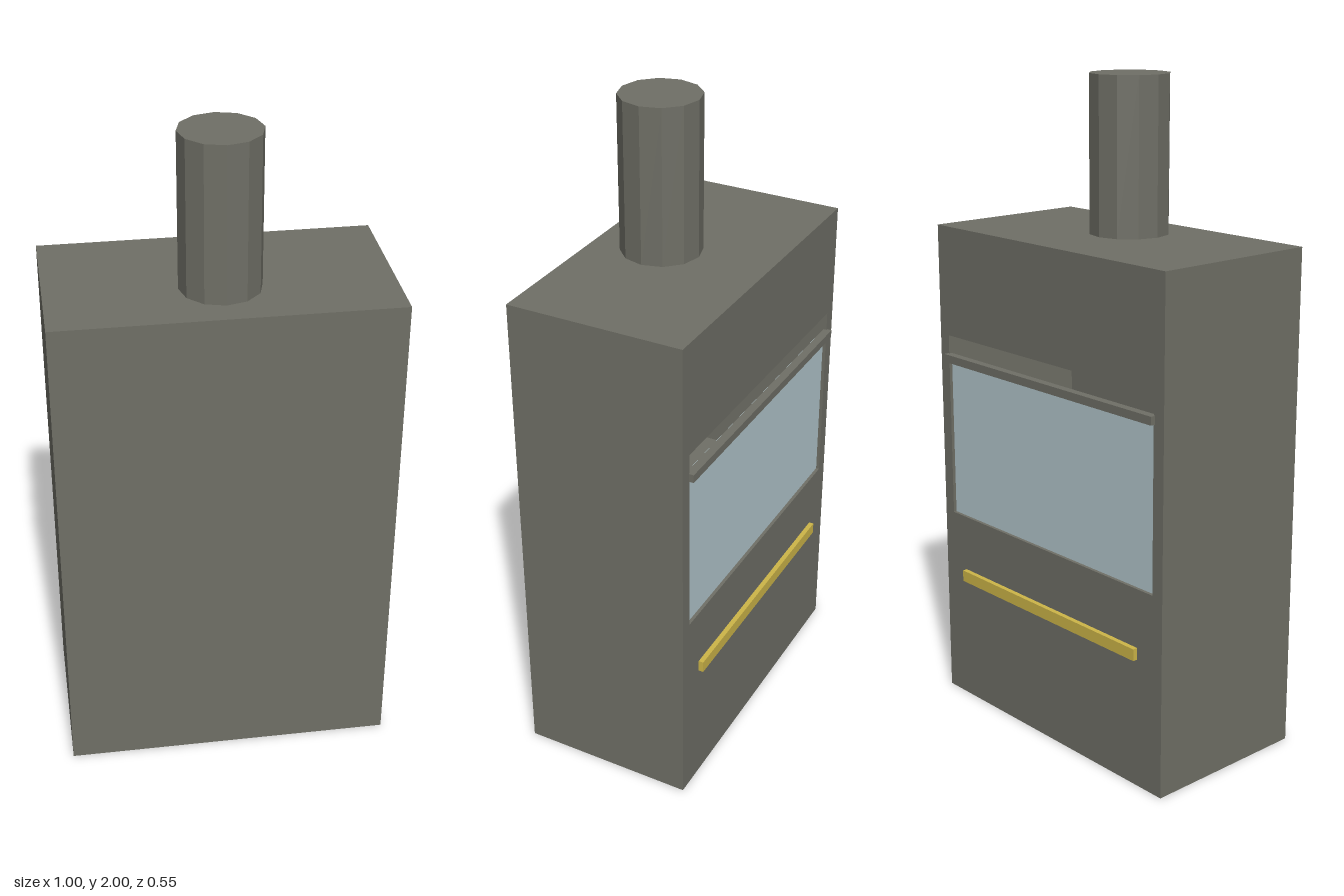
import * as THREE from 'three';

export function createModel() {
  const model = new THREE.Group();
  const material = (name, color) => {
    const m = new THREE.MeshStandardMaterial({ color, flatShading: true });
    m.name = name;
    return m;
  };
  const stone = material('grey casing', 0x6f6f66);
  const glass = material('pale blue glass', 0xb2c6cc);
  const brass = material('brass', 0xcdb548);

  const add = (name, geometry, mat, x, y, z) => {
    const mesh = new THREE.Mesh(geometry, mat);
    mesh.name = name;
    mesh.position.set(x, y, z);
    model.add(mesh);
  };
  // Box given by its half width and its y and z ranges
  const addBox = (name, mat, halfX, y0, y1, z0, z1) =>
    add(name, new THREE.BoxGeometry(halfX * 2, y1 - y0, z1 - z0), mat, 0, (y0 + y1) / 2, (z0 + z1) / 2);
  const rectangle = (path, halfX, y0, y1) =>
    path.moveTo(-halfX, y0).lineTo(halfX, y0).lineTo(halfX, y1).lineTo(-halfX, y1).closePath();

  // Casing with a deep firebox opening, closed by a solid panel
  const outline = rectangle(new THREE.Shape(), 0.5, 0, 1.535);
  outline.holes.push(rectangle(new THREE.Path(), 0.46, 0.615, 1.195));
  add('casing', new THREE.ExtrudeGeometry(outline, { depth: 0.5, bevelEnabled: false }), stone, 0, 0, -0.26);
  addBox('closedPanel', stone, 0.5, 0, 1.535, 0.24, 0.275);

  // Sliding glass with its rail; the gap above stays open
  addBox('glassPane', glass, 0.46, 0.615, 1.125, -0.25, -0.241);
  addBox('glassRail', stone, 0.465, 1.112, 1.137, -0.275, -0.25);

  // Brass bar below the opening
  addBox('brassBar', brass, 0.4, 0.4, 0.436, -0.275, -0.255);

  // Twelve-sided flue
  add('flue', new THREE.CylinderGeometry(0.12, 0.12, 0.465, 12), stone, 0, 1.7675, 0.074);

  return model;
}
